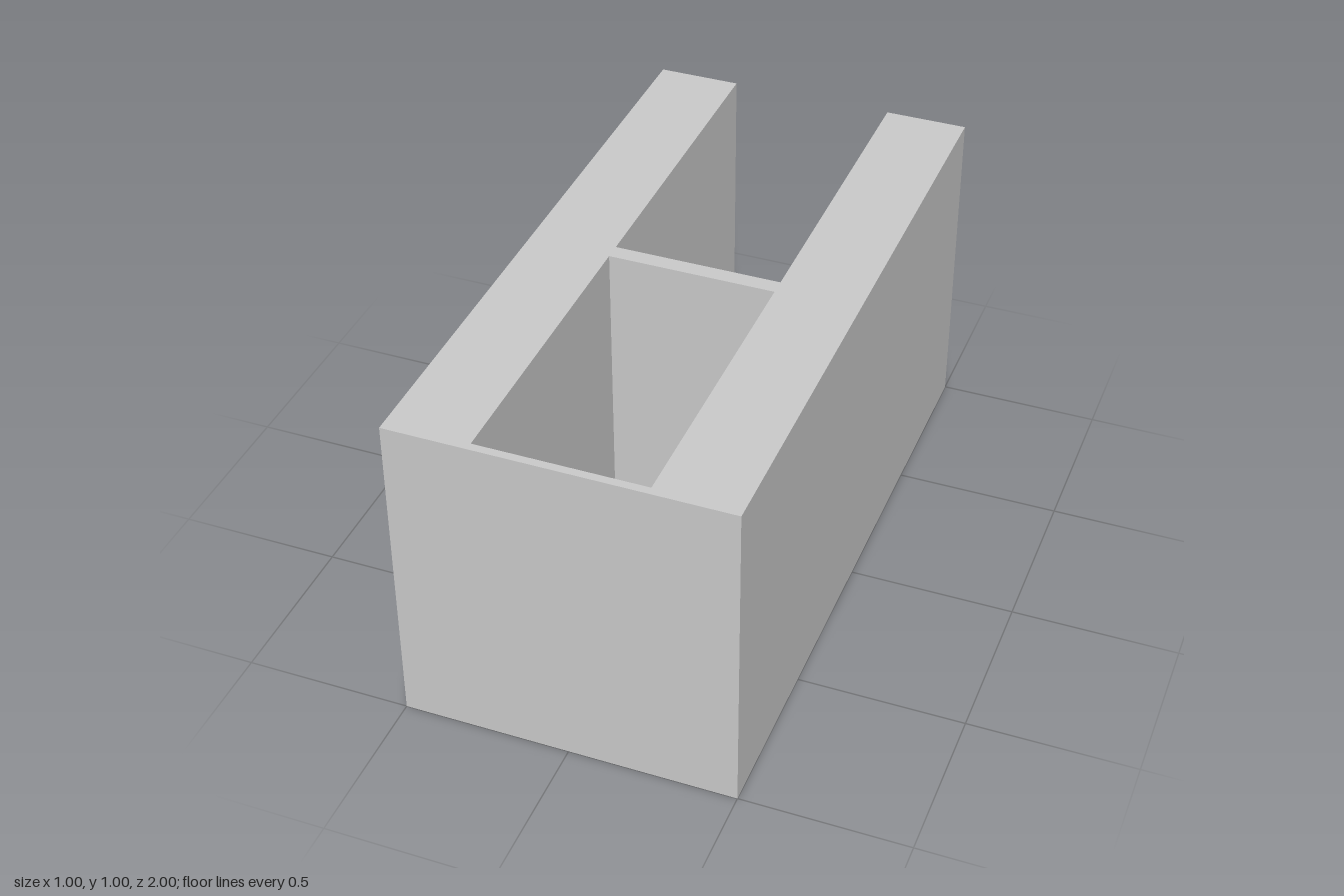
import * as THREE from 'three';

const HALF_WIDTH = 0.5, INNER = 0.25, HEIGHT = 1;
const FRONT = 1, BACK = -1;
const FRONT_WALL = 0.025; // front wall thickness
const WEB_BACK = 0, WEB_FRONT = 0.05; // cross web between the side walls

// Plan points are [x, z]; shape y is -z so the extrusion can be stood upright.
const toPoints = (plan) => plan.map(([x, z]) => new THREE.Vector2(x, -z));

export function createModel() {
  const group = new THREE.Group();
  group.name = 'channelBlock';

  // Outline: two thick side walls, open at the back down to the cross web
  const outline = new THREE.Shape(toPoints([
    [-HALF_WIDTH, FRONT], [HALF_WIDTH, FRONT],
    [HALF_WIDTH, BACK], [INNER, BACK],
    [INNER, WEB_BACK], [-INNER, WEB_BACK],
    [-INNER, BACK], [-HALF_WIDTH, BACK],
  ]));

  // Closed cell between the front wall and the cross web
  const cellFront = FRONT - FRONT_WALL;
  outline.holes.push(new THREE.Path(toPoints([
    [-INNER, cellFront], [-INNER, WEB_FRONT],
    [INNER, WEB_FRONT], [INNER, cellFront],
  ])));

  // Block: the plan raised to full height
  const geometry = new THREE.ExtrudeGeometry(outline, { depth: HEIGHT, bevelEnabled: false });
  geometry.rotateX(-Math.PI / 2);
  const block = new THREE.Mesh(geometry, new THREE.MeshStandardMaterial({ color: 0xcccccc }));
  block.name = 'block';
  group.add(block);

  return group;
}
